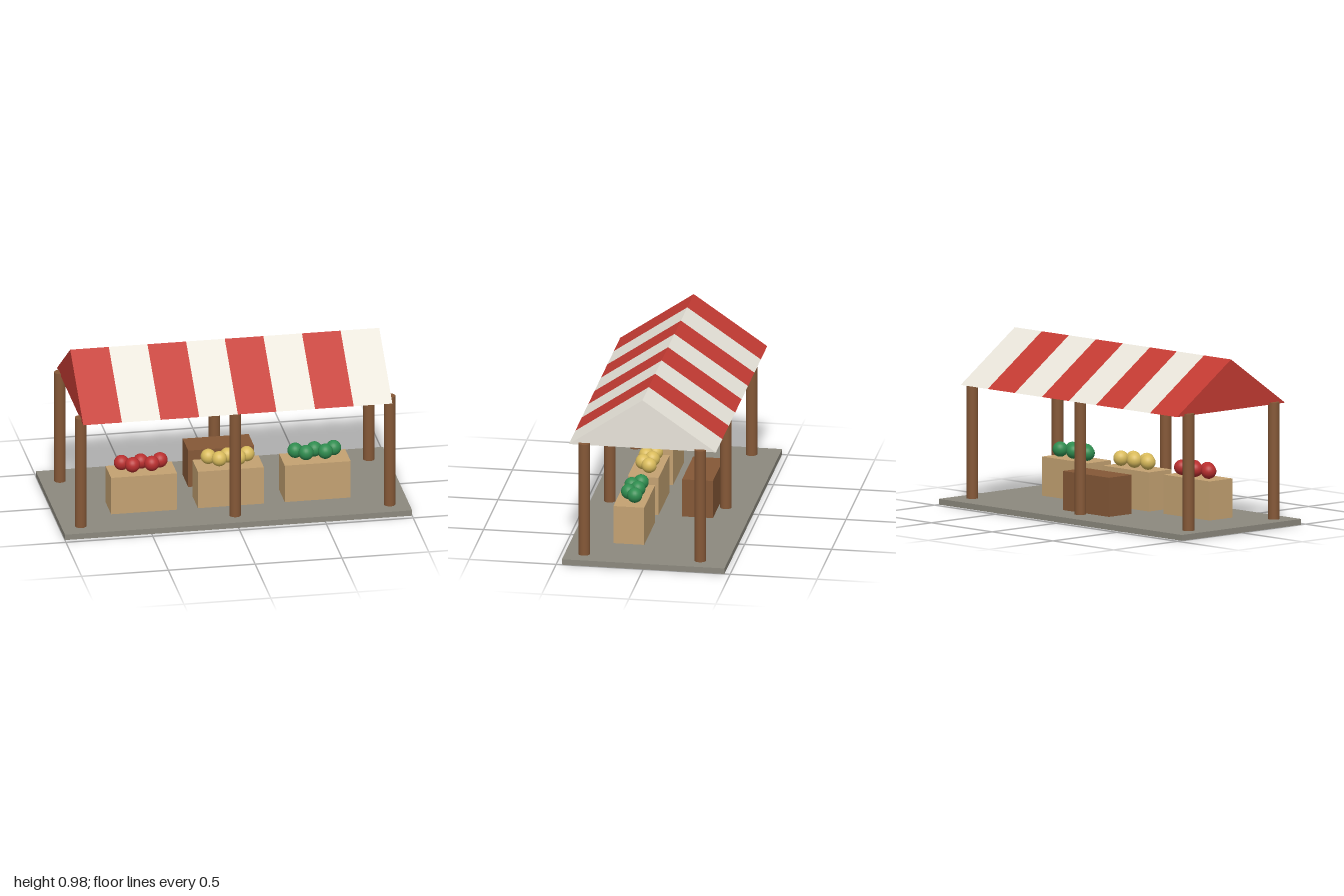
import * as THREE from 'three';

const paint = (color) => new THREE.MeshStandardMaterial({ color });
const stone = paint(0x8c897e);
const wood = paint(0x855837);
const crateWood = paint(0xc4a272);
const red = paint(0xc43b33);
const cream = paint(0xe8e4da);

const BASE_TOP = 0.033;

function add(parent, name, geometry, material, x, y, z) {
  const mesh = new THREE.Mesh(geometry, material);
  mesh.name = name;
  mesh.position.set(x, y, z);
  parent.add(mesh);
  return mesh;
}

function group(parent, name) {
  const g = new THREE.Group();
  g.name = name;
  parent.add(g);
  return g;
}

export function createModel() {
  const stall = new THREE.Group();
  stall.name = 'marketStall';

  // Ground slab
  add(stall, 'base', new THREE.BoxGeometry(2, BASE_TOP, 0.934), stone, 0, BASE_TOP / 2, 0);

  // Two rows of three round posts
  const posts = group(stall, 'posts');
  const postHeight = 0.702 - BASE_TOP;
  const postGeometry = new THREE.CylinderGeometry(0.033, 0.033, postHeight, 20);
  for (const z of [0.357, -0.31]) {
    for (const x of [-0.89, 0, 0.89]) {
      add(posts, 'post', postGeometry, wood, x, BASE_TOP + postHeight / 2, z);
    }
  }

  // Gabled roof: eight triangular prisms in alternating colours
  const roof = group(stall, 'roof');
  const stripeWidth = 1.78 / 8;
  const gable = new THREE.Shape([
    new THREE.Vector2(-0.445, 0.69),
    new THREE.Vector2(0.4, 0.69),
    new THREE.Vector2(-0.0225, 0.979),
  ]);
  const stripeGeometry = new THREE.ExtrudeGeometry(gable, { depth: stripeWidth, bevelEnabled: false });
  stripeGeometry.rotateY(Math.PI / 2); // extrusion runs along +x, shape x becomes -z
  for (let i = 0; i < 8; i++) {
    add(roof, 'roofStripe', stripeGeometry, i % 2 ? cream : red, -0.89 + i * stripeWidth, 0, 0);
  }

  // Crates with a zigzag row of fruit on each
  const crateHeight = 0.224;
  const crateGeometry = new THREE.BoxGeometry(0.38, crateHeight, 0.177);
  const crateY = BASE_TOP + crateHeight / 2;
  const fruitGeometry = new THREE.SphereGeometry(0.0435, 24, 16);
  const displays = [
    [-0.5, paint(0xb92f2f)],
    [0, paint(0xd9bb5c)],
    [0.5, paint(0x2f8c4f)],
  ];
  for (const [x, fruitPaint] of displays) {
    const display = group(stall, 'fruitDisplay');
    add(display, 'crate', crateGeometry, crateWood, x, crateY, 0.134);
    for (let i = 0; i < 5; i++) {
      add(display, 'fruit', fruitGeometry, fruitPaint, x + (i - 2) * 0.0555, 0.301, i % 2 ? 0.157 : 0.113);
    }
  }

  // Seller's chest at the back
  add(stall, 'chest', crateGeometry, wood, 0, crateY, -0.178);

  return stall;
}
